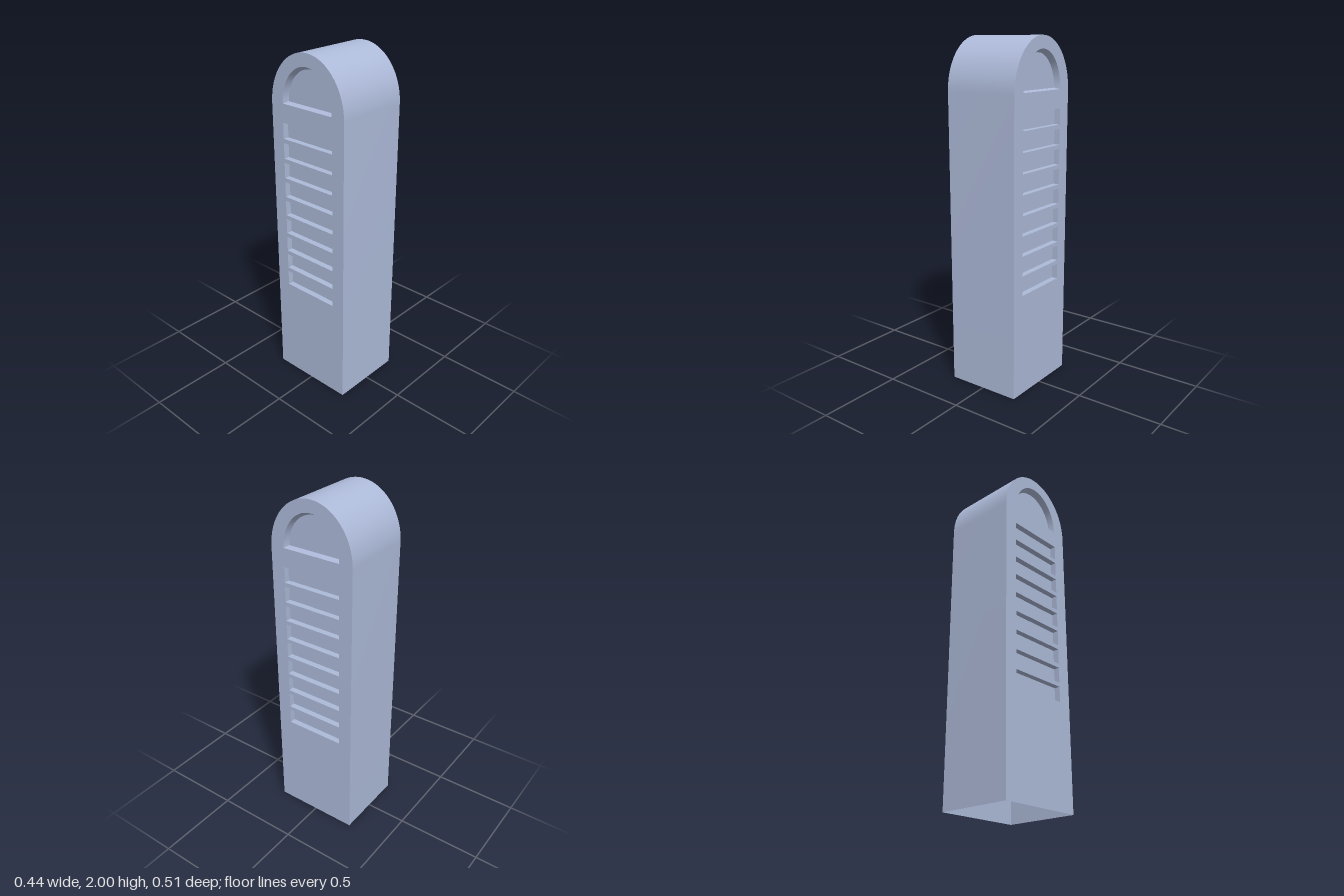
import * as THREE from 'three';
import { toCreasedNormals } from 'three/addons/utils/BufferGeometryUtils.js';

const HALF_LENGTH = 0.222; // half distance between the two vented faces
const RECESS = 0.035;

// Arched outline, counter-clockwise from the bottom right corner
function archOutline(halfWidth, bottom, spring, top, steps) {
  const pts = bottom < spring ? [new THREE.Vector2(halfWidth, bottom)] : [];
  for (let i = 0; i <= steps; i++) {
    const a = (Math.PI * i) / steps;
    pts.push(new THREE.Vector2(halfWidth * Math.cos(a), spring + (top - spring) * Math.sin(a)));
  }
  if (bottom < spring) pts.push(new THREE.Vector2(-halfWidth, bottom));
  return pts;
}

function rectOutline(halfWidth, bottom, top) {
  return [[halfWidth, bottom], [halfWidth, top], [-halfWidth, top], [-halfWidth, bottom]]
    .map(([x, y]) => new THREE.Vector2(x, y));
}

// Strip of faces joining two outlines at different depths
function loft(a, za, b, zb, closed) {
  const pos = [];
  const index = [];
  const n = a.length;
  a.forEach((p, i) => pos.push(p.x, p.y, za, b[i].x, b[i].y, zb));
  for (let i = 0; i < (closed ? n : n - 1); i++) {
    const j = (i + 1) % n;
    index.push(2 * i, 2 * j, 2 * i + 1, 2 * j, 2 * j + 1, 2 * i + 1);
  }
  const geo = new THREE.BufferGeometry();
  geo.setAttribute('position', new THREE.Float32BufferAttribute(pos, 3));
  geo.setIndex(index);
  return toCreasedNormals(geo, 0.6);
}

export function createModel() {
  const model = new THREE.Group();
  model.name = 'ventTower';
  const paint = new THREE.MeshStandardMaterial({ color: 0xadbad9, side: THREE.DoubleSide });
  paint.name = 'pale blue grey';

  const add = (parent, geometry, name) => {
    const mesh = new THREE.Mesh(geometry, paint);
    mesh.name = name;
    parent.add(mesh);
  };

  const outline = archOutline(0.257, 0, 1.7, 2, 48);

  // Recesses: one arched niche above nine louvre slots
  const recesses = [{
    name: 'archNiche',
    outer: archOutline(0.175, 1.71, 1.71, 1.93, 32),
    inner: archOutline(0.165, 1.717, 1.717, 1.911, 32),
  }];
  for (let i = 0; i < 9; i++) {
    const y = 0.6 + i * 0.1143;
    const slot = rectOutline(0.177, y, y + 0.09);
    recesses.push({ name: 'slot' + (i + 1), outer: slot, inner: slot });
  }

  // Front, back and rounded top as one thin shell, open underneath
  const shell = loft(outline, -HALF_LENGTH, outline, HALF_LENGTH, false);
  shell.rotateY(Math.PI / 2);
  add(model, shell, 'outerShell');

  // Identical vented faces on both sides
  for (const side of [1, -1]) {
    const face = new THREE.Group();
    face.name = side > 0 ? 'leftFace' : 'rightFace';
    face.rotation.y = (side * Math.PI) / 2;

    const panel = new THREE.Shape(outline);
    recesses.forEach((r) => panel.holes.push(new THREE.Path(r.outer)));
    add(face, new THREE.ShapeGeometry(panel).translate(0, 0, HALF_LENGTH), 'facePanel');

    const depth = HALF_LENGTH - RECESS;
    for (const r of recesses) {
      add(face, loft(r.outer, HALF_LENGTH, r.inner, depth, true), r.name + 'Rim');
      add(face, new THREE.ShapeGeometry(new THREE.Shape(r.inner)).translate(0, 0, depth), r.name + 'Back');
    }
    model.add(face);
  }
  return model;
}
